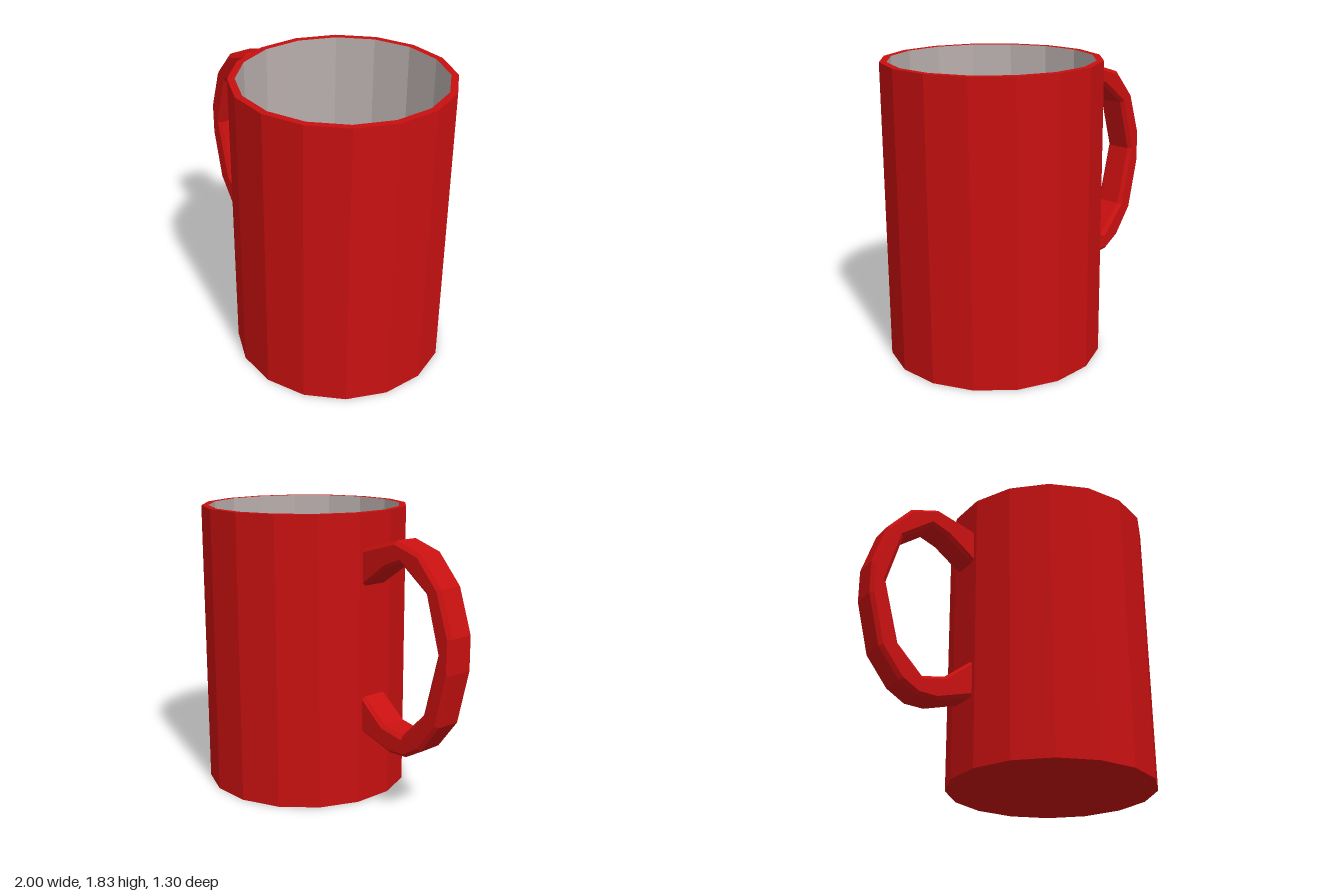
import * as THREE from 'three';

const SIDES = 16;
const HEIGHT = 1.83;
const CENTRE_X = 0.35;
const OUTER = 0.65 / Math.cos(Math.PI / SIDES); // corner radius for flats at 0.65
const INNER = 0.607 / Math.cos(Math.PI / SIDES);
const FLOOR = 0.05;

const toPoints = (list) => list.map(([x, y]) => new THREE.Vector2(x, y));

// Faceted ring of revolution with flat sides facing the axes
function facetedLathe(profile, material, name) {
  const geometry = new THREE.LatheGeometry(toPoints(profile), SIDES, Math.PI / SIDES);
  const mesh = new THREE.Mesh(geometry, material);
  mesh.name = name;
  mesh.position.x = CENTRE_X;
  return mesh;
}

export function createModel() {
  const red = new THREE.MeshStandardMaterial({ color: 0xc81010, flatShading: true });
  red.name = 'red glaze';
  const grey = new THREE.MeshStandardMaterial({ color: 0xb8aeac, flatShading: true });
  grey.name = 'warm grey lining';

  const mug = new THREE.Group();
  mug.name = 'mug';

  // Base, outer wall and rim
  mug.add(facetedLathe([[0, 0], [OUTER, 0], [OUTER, HEIGHT], [INNER, HEIGHT]], red, 'body'));

  // Inner wall and floor
  mug.add(facetedLathe([[INNER, HEIGHT], [INNER, FLOOR], [0, FLOOR]], grey, 'lining'));

  // C-shaped handle with chamfered edges, its ends sunk into the wall
  const outerEdge = [
    [-0.27, 1.61], [-0.56, 1.69], [-0.75, 1.63], [-0.91, 1.45], [-1, 1.18], [-1, 0.97],
    [-0.92, 0.64], [-0.78, 0.46], [-0.66, 0.39], [-0.53, 0.385], [-0.27, 0.463],
  ];
  const innerEdge = [
    [-0.27, 0.713], [-0.48, 0.55], [-0.63, 0.52], [-0.8, 0.69], [-0.9, 1.07],
    [-0.8, 1.41], [-0.6, 1.56], [-0.49, 1.52], [-0.27, 1.37],
  ];
  const chamfer = 0.022;
  const handleGeometry = new THREE.ExtrudeGeometry(
    new THREE.Shape(toPoints([...outerEdge, ...innerEdge])),
    {
      depth: 0.2 - 2 * chamfer,
      bevelThickness: chamfer,
      bevelSize: chamfer,
      bevelOffset: -chamfer,
      bevelSegments: 1,
    },
  );
  handleGeometry.translate(0, 0, chamfer - 0.1);
  const handle = new THREE.Mesh(handleGeometry, red);
  handle.name = 'handle';
  mug.add(handle);

  return mug;
}
